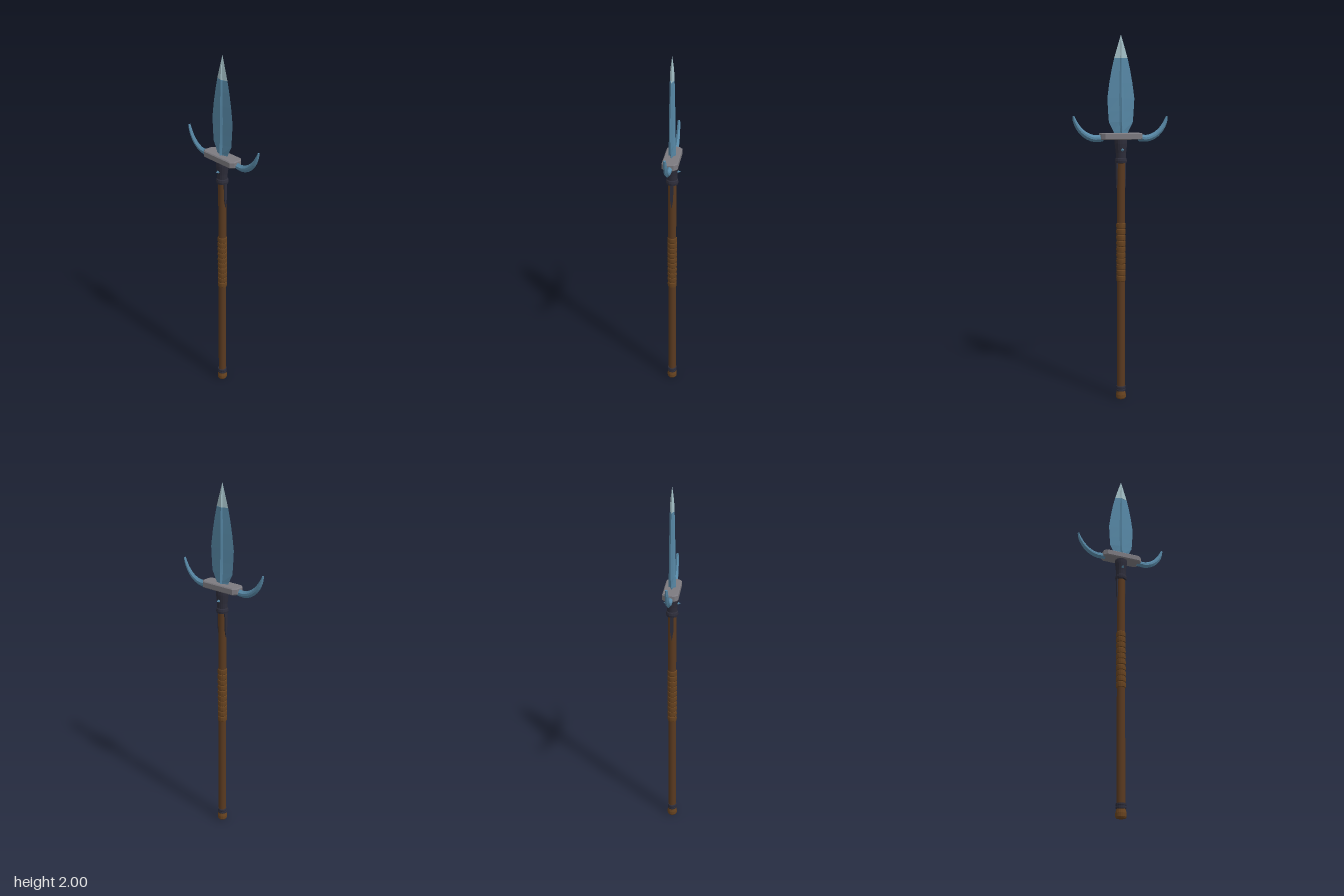
import * as THREE from 'three';

const mat = (name, color, opts = {}) => Object.assign(new THREE.MeshStandardMaterial({ color, ...opts }), { name });

// Skin a list of equal-length rings with flat faces and close both ends.
function loft(rings) {
  const pos = [];
  const tri = (...pts) => pts.forEach((p) => pos.push(...p));
  const n = rings[0].length;
  for (let r = 0; r < rings.length - 1; r++) {
    for (let i = 0; i < n; i++) {
      const j = (i + 1) % n;
      const [a, b, c, d] = [rings[r][i], rings[r][j], rings[r + 1][j], rings[r + 1][i]];
      tri(a, b, c);
      tri(a, c, d);
    }
  }
  const first = rings[0], last = rings[rings.length - 1];
  for (let i = 1; i < n - 1; i++) {
    tri(first[0], first[i + 1], first[i]);
    tri(last[0], last[i], last[i + 1]);
  }
  const g = new THREE.BufferGeometry();
  g.setAttribute('position', new THREE.Float32BufferAttribute(pos, 3));
  g.computeVertexNormals();
  return g;
}

// Blade cross-section: thin cutting edges with a raised central rib.
function bladeRing([y, w, t]) {
  const rib = w * 0.16, web = t * 0.5;
  return [[w, 0], [rib, -web], [0, -t], [-rib, -web], [-w, 0], [-rib, web], [0, t], [rib, web]]
    .map(([x, z]) => [x, y, z]);
}

export function createModel() {
  const root = new THREE.Group();
  root.name = 'polearm';
  const steel = mat('blue steel', 0x5788a6);
  const edge = mat('pale steel', 0xa3bfc6);
  const stone = mat('grey guard metal', 0x7c7a80);
  const iron = mat('dark iron', 0x2d2d3a);
  const wood = mat('brown wood', 0x5a3a20);
  const leather = mat('leather', 0x66421f);

  const add = (name, geo, material, x = 0, y = 0, z = 0, parent = root) => {
    const m = new THREE.Mesh(geo, material);
    m.name = name;
    m.position.set(x, y, z);
    parent.add(m);
    return m;
  };
  const lathe = (name, pts, material, sides = 16) => {
    const g = new THREE.LatheGeometry(pts.map(([r, y]) => new THREE.Vector2(r, y)), sides).toNonIndexed();
    g.computeVertexNormals();
    return add(name, g, material);
  };

  // Shaft
  add('shaft', new THREE.CylinderGeometry(0.022, 0.022, 1.32, 16), wood, 0, 0.7, 0);

  // Wrapped grip made of rounded bands
  const bands = 10, y0 = 0.675, step = 0.0325;
  const grip = [[0.021, y0]];
  for (let i = 0; i < bands; i++) {
    const y = y0 + i * step;
    grip.push([0.0255, y + 0.004], [0.026, y + step * 0.5], [0.0255, y + step - 0.004], [0.0225, y + step]);
  }
  lathe('wrappedGrip', grip, leather);

  // Butt cap and its band
  lathe('buttCap', [[0, 0], [0.024, 0], [0.028, 0.007], [0.028, 0.025], [0.023, 0.045], [0, 0.045]], leather);
  lathe('buttBand', [[0.02, 0.043], [0.026, 0.045], [0.027, 0.053], [0.025, 0.058], [0.027, 0.064], [0.026, 0.072], [0.02, 0.074]], iron);

  // Socket with flared mouth and bottom ring
  lathe('socket', [[0.02, 1.325], [0.031, 1.327], [0.033, 1.338], [0.031, 1.35], [0.027, 1.354],
    [0.028, 1.38], [0.031, 1.405], [0.034, 1.43], [0.034, 1.455], [0, 1.455]], iron);

  // Rivets front and back, and tapered straps down both sides
  for (const s of [1, -1]) {
    const rivet = add('rivet', new THREE.ConeGeometry(0.009, 0.018, 8), steel, 0, 1.397, s * 0.036);
    rivet.rotation.x = s * Math.PI / 2;
    const strap = new THREE.Shape([[-0.009, 1.34], [-0.008, 1.24], [0, 1.19], [0.008, 1.24], [0.009, 1.34]]
      .map((p) => new THREE.Vector2(...p)));
    const strapMesh = add('sideStrap', new THREE.ExtrudeGeometry(strap, { depth: 0.008, bevelEnabled: false }), iron, s * 0.019, 0, 0);
    strapMesh.rotation.y = s * Math.PI / 2;
  }

  // Chamfered guard block
  const [gx, gz, c] = [0.11, 0.036, 0.015];
  const outline = new THREE.Shape([[gx, gz - c], [gx - c, gz], [c - gx, gz], [-gx, gz - c],
    [-gx, c - gz], [c - gx, -gz], [gx - c, -gz], [gx, c - gz]].map((p) => new THREE.Vector2(...p)));
  const guard = new THREE.ExtrudeGeometry(outline, { depth: 0.026, bevelSize: 0.005, bevelThickness: 0.005, bevelSegments: 1 });
  guard.rotateX(-Math.PI / 2);
  add('guard', guard, stone, 0, 1.456, 0);

  // Upswept side hooks with a diamond section
  const path = new THREE.CatmullRomCurve3([[0.1, 1.461], [0.15, 1.458], [0.198, 1.478], [0.233, 1.513], [0.253, 1.55], [0.261, 1.576]]
    .map(([x, y]) => new THREE.Vector3(x, y, 0)));
  const rings = [];
  for (let i = 0; i <= 12; i++) {
    const u = i / 12, p = path.getPoint(u), t = path.getTangent(u);
    const h = 0.019 - 0.014 * u * u, d = 0.016 - 0.009 * u;
    rings.push([[1, 0], [0.3, 0.9], [-0.3, 0.9], [-1, 0], [-0.3, -0.9], [0.3, -0.9]]
      .map(([n, z]) => [p.x - t.y * n * h, p.y + t.x * n * h, z * d]));
  }
  const hook = loft(rings);
  add('leftHook', hook, steel);
  add('rightHook', hook, steel).rotation.y = Math.PI;

  // Leaf-shaped blade with a pale tip: [height, half width, half thickness]
  const neck = [1.88, 0.037, 0.012];
  add('blade', loft([[1.47, 0.034, 0.02], [1.495, 0.042, 0.02], [1.545, 0.067, 0.018], [1.6, 0.071, 0.017],
    [1.67, 0.075, 0.016], [1.75, 0.064, 0.015], [1.82, 0.051, 0.0135], neck].map(bladeRing)), steel);
  add('bladeTip', loft([neck, [1.94, 0.019, 0.009], [2, 0.0005, 0.0005]].map(bladeRing)), edge);

  return root;
}
